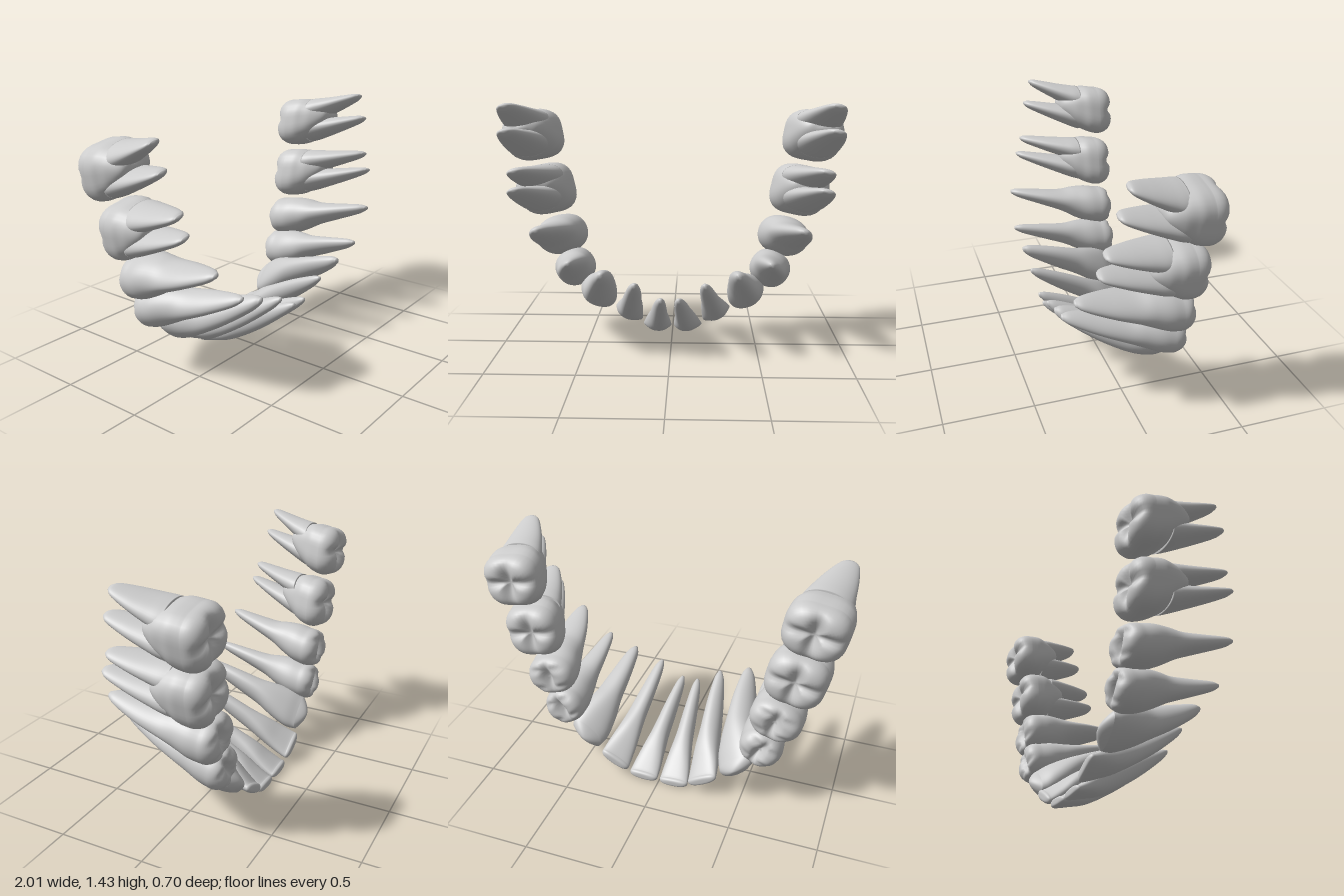
import * as THREE from 'three';

const SIDES = 40;
const RINGS = 36;
const CAP = 14;

// Width along (a) and across (b) the arch at these fractions from crown rim to root tip
const STATIONS = [0, 0.11, 0.27, 0.43, 0.65, 0.92, 1];
const KINDS = {
  incisor: {
    power: 2.5, cap: 0.024, cusps: 0,
    a: [1, 0.93, 0.77, 0.62, 0.51, 0.32, 0.13], b: [0.36, 0.6, 0.95, 1, 0.88, 0.46, 0.18],
  },
  canine: {
    power: 2.2, cap: 0.05, cusps: 1,
    a: [0.89, 1, 0.87, 0.65, 0.5, 0.3, 0.12], b: [0.48, 0.78, 0.98, 1, 0.85, 0.44, 0.17],
  },
  premolar: {
    power: 2.2, cap: 0.085, cusps: 2,
    a: [1, 1, 0.85, 0.6, 0.43, 0.24, 0.1], b: [1, 1, 0.89, 0.8, 0.65, 0.33, 0.13],
  },
  molar: {
    power: 2.5, cap: 0.097, cusps: 4,
    a: [1, 1, 0.97, 0.89, 0.73, 0.36, 0.1], b: [1, 1, 0.99, 0.93, 0.83, 0.55, 0.18],
  },
  root: {
    power: 2,
    a: [1, 0.94, 0.82, 0.7, 0.54, 0.31, 0.13], b: [1, 0.98, 0.9, 0.81, 0.66, 0.4, 0.2],
  },
};

// rim and tip are the two ends of the tooth axis; size is the largest half widths
const TEETH = [
  { name: 'centralIncisor', kind: 'incisor', angle: 3, size: [0.087, 0.075], rim: [0.095, 0.034, -0.27], tip: [0.05, 0.368, 0.325] },
  { name: 'lateralIncisor', kind: 'incisor', angle: 29, size: [0.094, 0.082], rim: [0.273, 0.11, -0.278], tip: [0.195, 0.455, 0.335] },
  { name: 'canine', kind: 'canine', angle: 42, size: [0.12, 0.108], rim: [0.46, 0.245, -0.26], tip: [0.378, 0.513, 0.34] },
  { name: 'firstPremolar', kind: 'premolar', angle: 56, size: [0.114, 0.122], rim: [0.598, 0.415, -0.23], tip: [0.552, 0.582, 0.35] },
  { name: 'secondPremolar', kind: 'premolar', angle: 72, size: [0.12, 0.148], rim: [0.667, 0.62, -0.23], tip: [0.725, 0.76, 0.33] },
  {
    name: 'firstMolar', kind: 'molar', angle: 78, size: [0.155, 0.166], rim: [0.753, 0.902, -0.23], tip: [0.795, 0.95, 0],
    rootTips: [[0.853, 0.968, 0.256], [0.857, 1.068, 0.225]],
  },
  {
    name: 'secondMolar', kind: 'molar', angle: 80, size: [0.15, 0.17], rim: [0.827, 1.222, -0.26], tip: [0.866, 1.278, -0.025],
    rootTips: [[0.91, 1.282, 0.181], [0.915, 1.417, 0.14]],
  },
];

const bump = (v, w) => Math.exp(-(v * v) / (w * w));

// Height of the biting surface over the rim; s is the ring scale, u runs along the arch, v across it
function biteHeight({ cap, cusps }, s, u, v) {
  if (cusps === 1) return cap * (1 - Math.pow(s, 1.7));
  const dome = cap * Math.sqrt(1 - s ** 4);
  if (cusps === 0) return dome;
  const centralGroove = 0.042 * bump(v, 0.2) * bump(u, 0.9);
  const crossGroove = cusps === 4 ? 0.028 * bump(u - 0.05, 0.17) : 0.014 * bump(Math.abs(u) - 0.5, 0.18);
  const basin = 0.014 * bump(Math.hypot(u, v), 0.5);
  return dome - (1 - s ** 5) * (Math.max(centralGroove, crossGroove) + basin);
}

// Smooth loft along the axis from rim to tip, with a biting surface if the kind has one
function loft({ kind, angle, size, rim, tip }, side) {
  const shape = KINDS[kind];
  const crowned = 'cap' in shape;
  const profile = new THREE.CatmullRomCurve3(STATIONS.map((t, i) => new THREE.Vector3(t, shape.a[i], shape.b[i])));
  const cos = Math.cos(THREE.MathUtils.degToRad(angle));
  const sin = Math.sin(THREE.MathUtils.degToRad(angle));
  const pos = [];
  const index = [];

  const addRing = (step, s, biting) => {
    const p = profile.getPoint(step);
    const drift = Math.pow(Math.max(p.x, 0), 1.1);
    const cx = THREE.MathUtils.lerp(rim[0], tip[0], drift);
    const cy = THREE.MathUtils.lerp(rim[1], tip[1], drift);
    const cz = THREE.MathUtils.lerp(rim[2], tip[2], p.x);
    const crown = 1 - THREE.MathUtils.smoothstep(cz, -0.2, 0);
    const power = THREE.MathUtils.lerp(2, shape.power, crown);
    const lobe = shape.cusps === 4 ? 0.025 * crown : 0;
    for (let j = 0; j < SIDES; j++) {
      const phi = side * (j / SIDES) * Math.PI * 2;
      const c = Math.cos(phi);
      const d = Math.sin(phi);
      const k = s * (1 - lobe * Math.cos(4 * phi)) * Math.pow(Math.abs(c) ** power + Math.abs(d) ** power, -1 / power);
      const along = k * c * p.y * size[0];
      const across = k * d * p.z * size[1];
      const z = cz - (biting ? biteHeight(shape, s, k * c, k * d) : 0);
      pos.push(side * (cx + along * cos - across * sin), cy + along * sin + across * cos, z);
    }
  };

  if (crowned) {
    for (let i = 1; i < CAP; i++) addRing(0, Math.sin((i / CAP) * Math.PI / 2), true);
  }
  for (let i = 0; i <= RINGS; i++) addRing(i / RINGS, 1, false);

  const start = pos.length / 3;
  const last = start - SIDES;
  for (let i = 0; i < last; i += SIDES) {
    for (let j = 0; j < SIDES; j++) {
      const a = i + j;
      const b = i + (j + 1) % SIDES;
      index.push(a, b, a + SIDES, b, b + SIDES, a + SIDES);
    }
  }

  // Close both ends
  pos.push(side * rim[0], rim[1], rim[2] - (crowned ? biteHeight(shape, 0, 0, 0) : 0));
  pos.push(side * tip[0], tip[1], tip[2] + 0.005);
  for (let j = 0; j < SIDES; j++) {
    const n = (j + 1) % SIDES;
    index.push(start, n, j, start + 1, last + j, last + n);
  }

  const geometry = new THREE.BufferGeometry();
  geometry.setAttribute('position', new THREE.Float32BufferAttribute(pos, 3));
  geometry.setIndex(index);
  geometry.computeVertexNormals();
  return geometry;
}

// The two roots of a molar start side by side inside its crown
function molarRoots({ angle, rim, rootTips }) {
  return rootTips.map((tip, i) => ({
    name: i ? 'rearRoot' : 'frontRoot',
    kind: 'root',
    angle,
    size: [0.076, 0.13],
    rim: [rim[0] + 0.018, rim[1] + (i ? 0.085 : -0.04), rim[2] + 0.11],
    tip,
  }));
}

export function createModel() {
  const model = new THREE.Group();
  model.name = 'lowerTeeth';
  const material = new THREE.MeshStandardMaterial({ color: 0xcccccc });

  for (const [side, prefix] of [[1, 'left'], [-1, 'right']]) {
    for (const tooth of TEETH) {
      const group = new THREE.Group();
      group.name = `${prefix} ${tooth.name}`;
      const parts = [{ ...tooth, name: 'crown' }, ...(tooth.rootTips ? molarRoots(tooth) : [])];
      for (const part of parts) {
        const mesh = new THREE.Mesh(loft(part, side), material);
        mesh.name = part.name;
        group.add(mesh);
      }
      model.add(group);
    }
  }
  return model;
}
